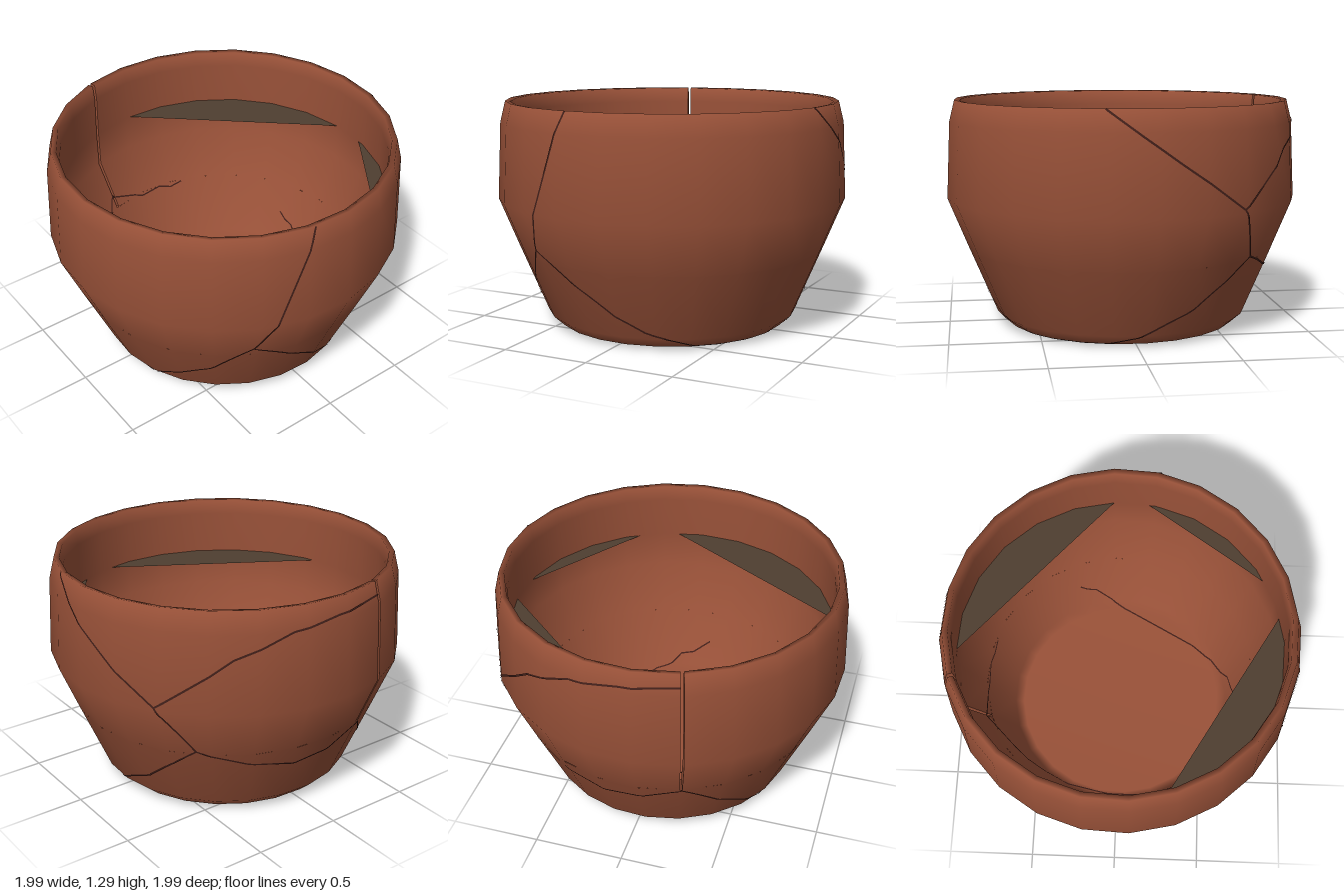
import * as THREE from 'three';

const SIDES = 24, SPLIT = 3.48, GAP = 0.018, STEP = Math.PI * 2 / SIDES;
const OUTER = [[0, 0], [0.61, 0], [0.66, 0.012], [0.725, 0.07], [0.884, 0.45], [1, 0.735], [0.98, 1.17], [0.95, 1.29]];
const INNER = [[0.92, 1.285], [0.912, 1.2], [0.92, 0.95], [0.92, 0.735], [0.8, 0.45], [0.66, 0.11], [0.61, 0.08], [0, 0.08]];

// Linear lookup in a profile: from column a to column b
function lookup(profile, a, b, v) {
  for (let i = 0; i < profile.length - 1; i++) {
    const p = profile[i], q = profile[i + 1];
    const lo = Math.min(p[a], q[a]), hi = Math.max(p[a], q[a]);
    if (hi > lo && v >= lo && v <= hi) return p[b] + (q[b] - p[b]) * (v - p[a]) / (q[a] - p[a]);
  }
  return profile[profile.length - 1][b];
}

// Radius correction that puts a point on the flat side of the many-sided pot
function facet(angle) {
  const t = (((angle - SPLIT) % STEP) + STEP) % STEP;
  return Math.cos(STEP / 2) / Math.cos(t - STEP / 2);
}

// Flat ribbon that follows a list of surface points
function ribbon(points, normals, width) {
  const pos = [], nor = [], index = [];
  points.forEach((p, i) => {
    const t = points[Math.min(i + 1, points.length - 1)].clone().sub(points[Math.max(i - 1, 0)]);
    const side = t.cross(normals[i]).normalize().multiplyScalar(width / 2);
    for (const s of [-1, 1]) {
      pos.push(...p.clone().addScaledVector(side, s).addScaledVector(normals[i], 0.004).toArray());
      nor.push(...normals[i].toArray());
    }
    if (i) index.push(2 * i - 2, 2 * i - 1, 2 * i, 2 * i - 1, 2 * i + 1, 2 * i);
  });
  const g = new THREE.BufferGeometry();
  g.setAttribute('position', new THREE.Float32BufferAttribute(pos, 3));
  g.setAttribute('normal', new THREE.Float32BufferAttribute(nor, 3));
  g.setIndex(index);
  return g;
}

// Samples a polyline of [a, b] pairs evenly
function sample(path, n = 14) {
  const out = [path[0]];
  for (let i = 1; i < path.length; i++)
    for (let k = 1; k <= n; k++)
      out.push([0, 1].map(c => path[i - 1][c] + (path[i][c] - path[i - 1][c]) * k / n));
  return out;
}

export function createModel() {
  const clay = new THREE.MeshStandardMaterial({ color: 0x9a5239, side: THREE.DoubleSide });
  clay.name = 'terracotta';
  const dark = new THREE.MeshStandardMaterial({ color: 0x42201a, side: THREE.DoubleSide });
  dark.name = 'crack brown';
  const soil = new THREE.MeshStandardMaterial({ color: 0x4f3f31, side: THREE.DoubleSide });
  soil.name = 'dry soil';

  const root = new THREE.Group();
  root.name = 'crackedPot';
  const add = (name, geometry, material) => {
    const m = new THREE.Mesh(geometry, material);
    m.name = name;
    root.add(m);
    return m;
  };
  const lathe = (profile, start, length) =>
    new THREE.LatheGeometry(profile.map(p => new THREE.Vector2(p[0], p[1])), SIDES, start, length);

  // Closed lower half, and upper wall left open along the back split
  const wall = [...OUTER.slice(4), ...INNER.slice(0, 5)];
  add('lowerOutside', lathe(OUTER.slice(0, 5), SPLIT, Math.PI * 2), clay);
  add('lowerInside', lathe(INNER.slice(4), SPLIT, Math.PI * 2), clay);
  add('upperWall', lathe(wall, SPLIT + GAP / 2, Math.PI * 2 - GAP), clay);

  // Broken faces on both sides of the split
  const section = new THREE.Shape(wall.map(p => new THREE.Vector2(p[0], p[1])));
  for (const s of [-1, 1]) {
    add('splitFace', new THREE.ShapeGeometry(section), clay).rotation.y = SPLIT + s * GAP / 2 - Math.PI / 2;
  }

  // Outside cracks as [angle from the front, height]
  const outside = [
    [[-0.148, 1.288], [-0.357, 0.735], [-0.467, 0.52], [-0.735, 0.29], [-1.2, 0.07]],
    [[1.36, 1.288], [1.744, 1.02], [2.141, 0.755]],
    [[2.141, 0.755], [2.342, 0.47]],
    [[2.141, 0.755], [2.554, 1.04], [2.87, 1.165], [3.15, 1.2], [3.47, 1.22]],
    [[2.342, 0.47], [2.65, 0.38], [2.98, 0.33], [3.25, 0.36], [3.48, 0.44]],
    [[3.48, 0.45], [3.75, 0.27], [4.05, 0.11], [4.33, 0.03], [4.7, 0.025], [5.083, 0.07]],
    [[2.342, 0.47], [1.963, 0.21], [1.57, 0.06], [1.34, 0.02], [0.65, 0.02], [0.27, 0.11], [0.064, 0.2], [-0.467, 0.52]],
  ];
  for (const path of outside) {
    const pts = [], nor = [];
    for (const [a, y] of sample(path)) {
      const r = lookup(OUTER, 1, 0, y) * facet(a);
      const slope = (lookup(OUTER, 1, 0, Math.min(y + 0.01, 1.29)) - lookup(OUTER, 1, 0, Math.max(y - 0.01, 0.001))) / 0.02;
      pts.push(new THREE.Vector3(r * Math.sin(a), y, r * Math.cos(a)));
      nor.push(new THREE.Vector3(Math.sin(a), -slope, Math.cos(a)).normalize());
    }
    add('outsideCrack', ribbon(pts, nor, 0.011), dark);
  }

  // Inside cracks as [x, z] on the bowl's floor and sloping wall
  const inside = [
    [[0.67, -0.28], [0.68, -0.18], [0.66, -0.08], [0.48, 0.25], [0.37, 0.45], [0.27, 0.57], [0.13, 0.67], [-0.05, 0.72]],
    [[-0.29, -0.78], [-0.48, -0.54], [-0.58, -0.3], [-0.63, -0.05], [-0.63, 0.2], [-0.58, 0.42]],
    [[-0.29, -0.78], [-0.12, -0.79], [0.07, -0.79], [0.22, -0.76]],
  ];
  for (const path of inside) {
    const pts = [], nor = [];
    for (const [x, z] of sample(path)) {
      const a = Math.atan2(x, z);
      const r = Math.hypot(x, z) / facet(a);
      const y = lookup(INNER.slice(3), 0, 1, r);
      const tilt = r > 0.66 ? 0.92 : r > 0.61 ? 0.5 : 0;
      pts.push(new THREE.Vector3(x, y, z));
      nor.push(new THREE.Vector3(-Math.sin(a) * tilt, Math.sqrt(1 - tilt * tilt), -Math.cos(a) * tilt));
    }
    add('insideCrack', ribbon(pts, nor, 0.009), dark);
  }

  // Thin level remains of soil clinging to the wall, each a slice of a disc
  for (const [from, to] of [[0.077, 1.615], [3.408, 4.957], [-1.078, -0.142]]) {
    const slice = new THREE.Shape();
    slice.absarc(0, 0, 0.92, from, to, false);
    const g = new THREE.ShapeGeometry(slice, 16);
    g.rotateX(-Math.PI / 2);
    add('soilRemnant', g, soil).position.y = 0.95;
  }

  return root;
}
